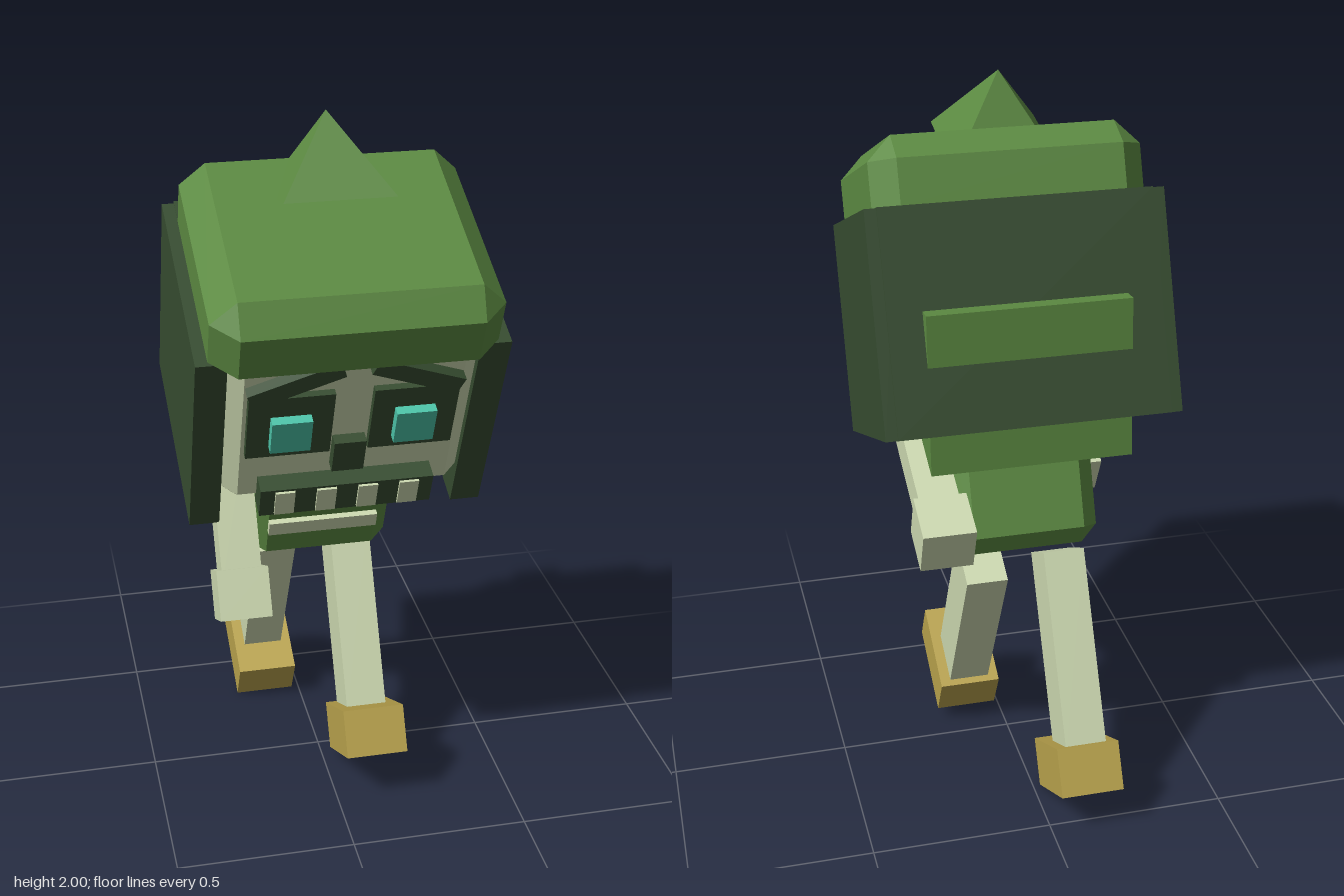
import * as THREE from 'three';
import { ConvexGeometry } from 'three/addons/geometries/ConvexGeometry.js';

export function createModel() {
  const model = new THREE.Group();
  const material = (name, color) => {
    const m = new THREE.MeshStandardMaterial({ color, flatShading: true });
    m.name = name;
    return m;
  };
  const green = material('helmet green', 0x5c8a42);
  const dark = material('dark green', 0x364c30);
  const bone = material('pale bone', 0xccd8b0);
  const teal = material('teal', 0x4cc3a8);
  const ochre = material('ochre', 0xb8a24c);

  const add = (parent, name, geometry, mat) => {
    const mesh = new THREE.Mesh(geometry, mat);
    mesh.name = name;
    parent.add(mesh);
    return mesh;
  };
  // Box given by its limits on each axis
  const box = (parent, name, mat, x0, x1, y0, y1, z0, z1) => {
    const g = new THREE.BoxGeometry(x1 - x0, y1 - y0, z1 - z0);
    g.translate((x0 + x1) / 2, (y0 + y1) / 2, (z0 + z1) / 2);
    return add(parent, name, g, mat);
  };
  // Symmetric box with chamfered edges; the base edge may stay square
  const chamferBox = (parent, name, mat, x, y0, y1, z0, z1, c, squareBase = false) => {
    const points = [];
    for (const s of [-1, 1]) {
      for (const [z, zi] of [[z0, z0 + c], [z1, z1 - c]]) {
        for (const [y, yi] of [[y0, squareBase ? y0 : y0 + c], [y1, y1 - c]]) {
          points.push(new THREE.Vector3(s * x, yi, zi), new THREE.Vector3(s * (x - c), yi, z));
          if (y !== yi) points.push(new THREE.Vector3(s * (x - c), y, zi));
        }
      }
    }
    return add(parent, name, new ConvexGeometry(points), mat);
  };

  // Head and torso share one forward lean
  const upper = new THREE.Group();
  upper.name = 'leaningUpperBody';
  upper.rotation.x = 0.385;
  model.add(upper);

  // Helmet
  chamferBox(upper, 'helmetTop', green, 0.368, 1.55, 1.74, -0.73, -0.075, 0.066, true);
  for (const s of [-1, 1]) {
    box(upper, 'helmetSide', dark, s * 0.36 - 0.04, s * 0.36 + 0.04, 0.955, 1.55, -0.74, -0.127);
  }
  box(upper, 'helmetBack', dark, -0.368, 0.368, 0.955, 1.552, -0.747, -0.66);

  // Skull face
  chamferBox(upper, 'skull', bone, 0.325, 1.04, 1.6, -0.66, -0.107, 0.045);
  for (const s of [-1, 1]) {
    const socket = box(upper, 'eyeSocket', dark, -0.11, 0.11, 1.245, 1.455, -0.13, -0.088);
    socket.position.x = s * 0.16;
    const eye = box(upper, 'eye', teal, -0.052, 0.052, 1.285, 1.39, -0.1, -0.062);
    eye.position.x = s * 0.16;
    const brow = add(upper, 'eyebrow', new THREE.BoxGeometry(0.245, 0.05, 0.05), dark);
    brow.position.set(s * 0.155, 1.505, -0.1);
    brow.rotation.z = -s * 0.38;
  }
  box(upper, 'nose', dark, -0.042, 0.042, 1.18, 1.285, -0.13, -0.075);
  box(upper, 'mouth', dark, -0.23, 0.23, 1.055, 1.15, -0.115, -0.053);
  for (const x of [-0.165, -0.055, 0.055, 0.165]) {
    box(upper, 'tooth', bone, x - 0.026, x + 0.026, 1.062, 1.143, -0.11, -0.046);
  }

  // Torso and ribs
  chamferBox(upper, 'torso', green, 0.2, 0.607, 1.06, -0.548, -0.25, 0.046);
  for (const y of [0.877, 0.769]) {
    box(upper, 'rib', bone, -0.155, 0.155, y - 0.024, y + 0.024, -0.28, -0.233);
  }

  // Chest block, showing below the head and through the helmet back
  const chest = add(model, 'chest', new THREE.BoxGeometry(0.55, 0.44, 0.29), green);
  chest.position.set(-0, 1.24, -0.128);
  chest.rotation.x = 0.07;

  // Four-sided spike on the helmet
  const spikeGeometry = new THREE.ConeGeometry(0.145 * Math.SQRT2, 0.212, 4);
  spikeGeometry.rotateY(Math.PI / 4);
  spikeGeometry.translate(0, 0.106, 0);
  const spike = add(model, 'helmetSpike', spikeGeometry, green);
  spike.position.set(0, 1.792, 0.14);
  spike.rotation.x = -0.2;

  // Arms swing from the shoulders
  for (const [name, x, y, z, swing] of [
    ['rightArm', -0.272, 1.12, 0.089, -0.48],
    ['leftArm', 0.27, 1.09, -0.006, 1.187],
  ]) {
    const arm = new THREE.Group();
    arm.name = name;
    arm.position.set(x, y, z);
    arm.rotation.x = swing;
    model.add(arm);
    box(arm, 'armBone', bone, -0.054, 0.054, -0.4, 0.03, -0.05, 0.05);
    box(arm, 'hand', bone, -0.07, 0.07, -0.5, -0.365, -0.066, 0.066);
  }

  // Legs in a running stride
  for (const [name, s, swing] of [['rightLeg', -1, 0.49], ['leftLeg', 1, -0.49]]) {
    const leg = new THREE.Group();
    leg.name = name;
    leg.position.set(s * 0.109, 0.682, -0.15);
    leg.rotation.x = swing;
    model.add(leg);
    box(leg, 'legBone', bone, -0.058, 0.058, -0.56, 0, -0.077, 0.077);
    box(leg, 'boot', ochre, -0.088, 0.088, -0.675, -0.54, -0.097, 0.174);
  }

  return model;
}
